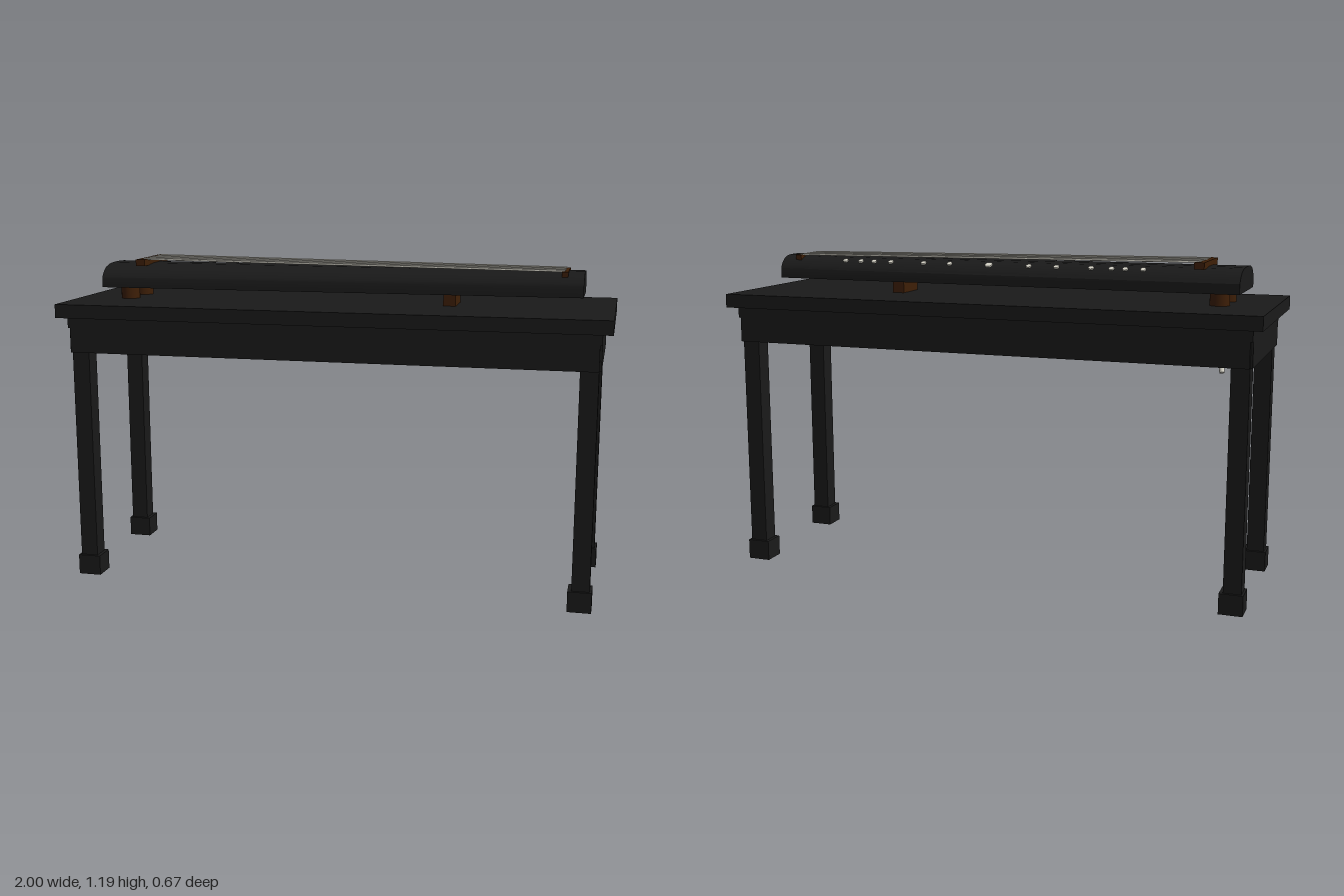
import * as THREE from 'three';
import { toCreasedNormals } from 'three/addons/utils/BufferGeometryUtils.js';

const mat = (name, color) => {
  const m = new THREE.MeshStandardMaterial({ color });
  m.name = name;
  return m;
};

export function createModel() {
  const group = new THREE.Group();
  const black = mat('black lacquer', 0x1a1a1a);
  const brown = mat('brown wood', 0x3e1f07);
  const ivory = mat('ivory', 0xdad7cb);

  const add = (name, geometry, material) => {
    const mesh = new THREE.Mesh(geometry, material);
    mesh.name = name;
    group.add(mesh);
    return mesh;
  };
  // Box given by its limits on each axis
  const box = (name, material, x0, x1, y0, y1, z0, z1) => {
    const mesh = add(name, new THREE.BoxGeometry(x1 - x0, y1 - y0, z1 - z0), material);
    mesh.position.set((x0 + x1) / 2, (y0 + y1) / 2, (z0 + z1) / 2);
    return mesh;
  };
  // Smooth round rod between two points
  const rod = (name, material, a, b, radius) => {
    const dir = b.clone().sub(a);
    const mesh = add(name, new THREE.CylinderGeometry(radius, radius, dir.length(), 20), material);
    mesh.position.copy(a).add(b).multiplyScalar(0.5);
    mesh.quaternion.setFromUnitVectors(new THREE.Vector3(0, 1, 0), dir.normalize());
  };

  // Table: top, slab beneath it, apron with notched corners, legs with block feet
  box('tableTop', black, -1, 1, 0.99, 1.04, -0.333, 0.333);
  box('underSlab', black, -0.965, 0.965, 0.95, 0.99, -0.305, 0.305);
  for (const s of [-1, 1]) {
    const long = box('longApron', black, -0.957, 0.957, 0.86, 0.95, 0.289, 0.305);
    const end = box('endApron', black, 0.947, 0.965, 0.86, 0.95, -0.289, 0.289);
    long.position.z *= s;
    end.position.x *= s;
    for (const t of [-1, 1]) {
      const leg = box('leg', black, 0.893, 0.957, 0.075, 0.95, 0.223, 0.289);
      const foot = box('legFoot', black, 0.88, 0.965, 0, 0.075, 0.214, 0.299);
      for (const part of [leg, foot]) {
        part.position.x *= s;
        part.position.z *= t;
      }
    }
  }

  // Zither body: arched section, tapering towards the tail
  const X0 = -0.89, LENGTH = 1.779, BASE = 1.086;
  const halfWidth = (x) => 0.148 - 0.04 * (x - X0) / LENGTH;
  const arch = [[1, 0], [1, 0.037], [0.94, 0.05], [0.84, 0.063], [0.73, 0.073], [0.5, 0.082], [0.25, 0.085]];
  const outline = [...arch, ...arch.map(([w, h]) => [-w, h]).reverse()];
  const bodyGeo = new THREE.ExtrudeGeometry(
    new THREE.Shape(outline.map(([w, h]) => new THREE.Vector2(w, h))),
    { depth: LENGTH, bevelEnabled: false });
  bodyGeo.rotateY(Math.PI / 2);
  bodyGeo.translate(X0, BASE, 0);
  const pos = bodyGeo.attributes.position;
  for (let i = 0; i < pos.count; i++) pos.setZ(i, pos.getZ(i) * halfWidth(pos.getX(i)));
  bodyGeo.computeVertexNormals();
  add('zitherBody', toCreasedNormals(bodyGeo, 0.5), black);

  // Supports under the body: round pair at the head, block at the tail
  for (const s of [-1, 1]) {
    rod('headSupport', brown, new THREE.Vector3(-0.81, 1.04, s * 0.069),
      new THREE.Vector3(-0.81, 1.09, s * 0.069), 0.035);
  }
  box('tailSupport', brown, 0.39, 0.435, 1.04, 1.09, -0.065, 0.065);

  // Bridges
  box('headBridge', brown, -0.763, -0.728, 1.166, 1.19, -0.126, 0.126);
  box('tailBridge', brown, 0.81, 0.832, 1.155, 1.174, -0.09, 0.085);

  // Seven strings, fanning in slightly towards the tail
  for (let i = -3; i <= 3; i++) {
    rod('string', ivory,
      new THREE.Vector3(-0.745, 1.19, i * 0.03),
      new THREE.Vector3(0.82, 1.175, i * 0.024), 0.0036);
  }

  // Surface height of the arch at a given spot
  const surface = (x, z) => {
    const r = Math.abs(z) / halfWidth(x);
    const i = arch.findIndex(([w]) => w <= r);
    const [w1, h1] = arch[i], [w0, h0] = arch[i - 1];
    return BASE + h1 + (h0 - h1) * (r - w1) / (w0 - w1);
  };
  // Thirteen position studs along the back, the middle one largest
  const studs = [-0.545, -0.48, -0.43, -0.355, -0.225, -0.12, 0.035, 0.19, 0.295, 0.43, 0.5, 0.555, 0.62];
  studs.forEach((x, i) => {
    const z = -0.105 + 0.018 * (x + 0.545) / 1.165;
    const r = i === 6 ? 0.014 : 0.01;
    const stud = add('stud', new THREE.CylinderGeometry(r, r, 0.006, 20), ivory);
    stud.position.set(x, surface(x, z) + 0.001, z);
    stud.rotation.x = -0.45;
  });

  // Cord hanging under the table top
  rod('hangingCord', ivory, new THREE.Vector3(-0.82, 0.955, -0.12),
    new THREE.Vector3(-0.845, 0.822, -0.177), 0.009);

  return group;
}
